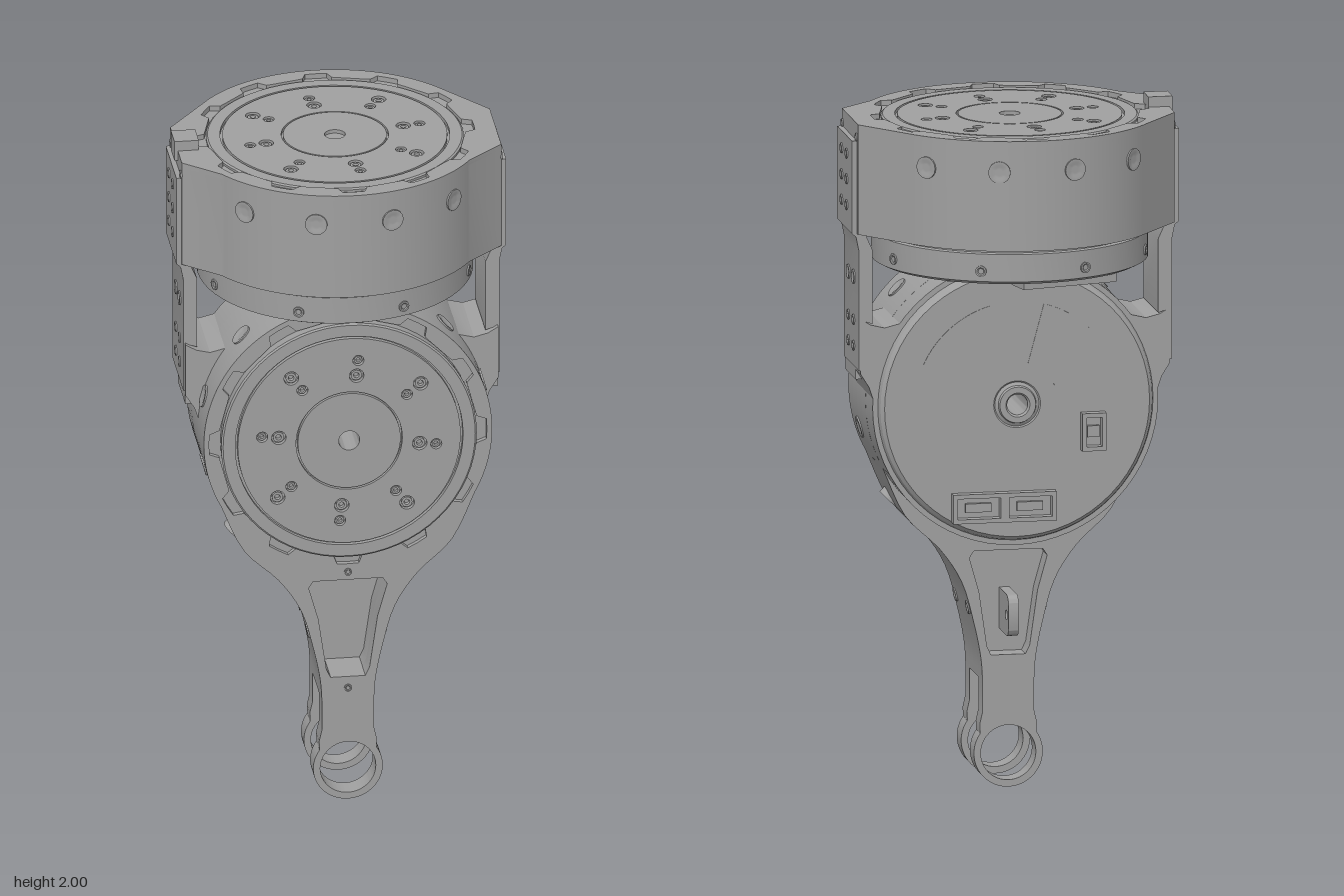
import * as THREE from 'three';
import { toCreasedNormals } from 'three/addons/utils/BufferGeometryUtils.js';

const metal = new THREE.MeshStandardMaterial({ color: 0xa0a0a0 });
metal.name = 'grey metal';
const V2 = (x, y) => new THREE.Vector2(x, y);
const DEG = Math.PI / 180;

function add(parent, name, geo, x = 0, y = 0, z = 0) {
  const mesh = new THREE.Mesh(geo, metal);
  mesh.name = name;
  mesh.position.set(x, y, z);
  parent.add(mesh);
  return mesh;
}

const poly = (pts) => new THREE.Shape(pts.map(([x, y]) => V2(x, y)));
const circle = (x, y, r) => new THREE.Path().absarc(x, y, r, 0, Math.PI * 2, true);

// Flat shape pushed from z0 to z1
function slab(shape, z0, z1, holes = [], segs = 24) {
  const s = shape.clone();
  s.holes = holes;
  const g = new THREE.ExtrudeGeometry(s, { depth: z1 - z0, bevelEnabled: false, curveSegments: segs });
  g.translate(0, 0, z0);
  return toCreasedNormals(g, 0.45);
}

// Turned part around the z axis, profile given as [radius, z]
function turned(profile, segs = 64) {
  const g = new THREE.LatheGeometry(profile.map(([r, z]) => V2(r, z)), segs);
  g.rotateX(Math.PI / 2);
  return toCreasedNormals(g, 0.45);
}

// Socket screw pointing along dir
function bolt(parent, name, pos, dir, r = 0.032) {
  const g = turned([[r, -0.02], [r, 0.004], [r * 0.7, 0.004], [r * 0.5, 0.0015], [r * 0.3, 0.0015], [0, 0.0005]], 16);
  const m = add(parent, name, g, ...pos);
  m.lookAt(pos[0] + dir[0], pos[1] + dir[1], pos[2] + dir[2]);
}

// Circle with twelve lobes that the cap tabs sit in
function lobedPoints(cx, cy) {
  const pts = [];
  for (let i = 0; i < 12; i++) {
    const a = i * 30;
    for (const [d, r] of [[-10, 0.37], [-6.5, 0.373], [-4.5, 0.4], [0, 0.4], [4.5, 0.4], [6.5, 0.373], [10, 0.37]])
      pts.push(V2(cx + r * Math.cos((a + d) * DEG), cy + r * Math.sin((a + d) * DEG)));
  }
  return new THREE.Path(pts);
}

// Output face of a motor: hub, drilled plate and outer ring, top at z = 0
function outputFace(offset) {
  const g = new THREE.Group();
  g.name = 'outputFace';
  add(g, 'faceRing', turned([[0.365, -0.05], [0.368, -0.004], [0.363, 0], [0.328, 0], [0.328, -0.014],
    [0.148, -0.014], [0.148, 0], [0.03, 0], [0.03, -0.05]]));
  const holes = [circle(0, 0, 0.153)];
  for (let k = 0; k < 8; k++) {
    const a = (offset + 45 * k) * DEG;
    const [big, small] = k % 2 ? [0.265, 0.214] : [0.204, 0.252];
    for (const [r, s] of [[big, 0.021], [small, 0.016]]) {
      const x = r * Math.cos(a), y = r * Math.sin(a);
      holes.push(circle(x, y, s));
      add(g, 'faceScrew', turned([[s * 0.75, -0.014], [s * 0.75, -0.004], [s * 0.4, -0.004], [s * 0.3, -0.012], [0, -0.012]], 12), x, y);
    }
  }
  const disc = new THREE.Shape().absarc(0, 0, 0.321, 0, Math.PI * 2);
  add(g, 'drilledPlate', slab(disc, -0.014, 0, holes, 32));
  return g;
}

// Open plug socket, facing +z
function socket(w, h, windows) {
  const g = new THREE.Group();
  g.name = 'socket';
  const rect = (cx, ww, hh) => [[cx - ww / 2, -hh / 2], [cx + ww / 2, -hh / 2], [cx + ww / 2, hh / 2], [cx - ww / 2, hh / 2]];
  const cell = w / windows;
  const holes = [];
  for (let i = 0; i < windows; i++) {
    const cx = -w / 2 + cell * (i + 0.5);
    holes.push(poly(rect(cx, cell - 0.025, h - 0.025)));
    add(g, 'socketPin', new THREE.BoxGeometry(cell * 0.5, h * 0.3, 0.012), cx, 0, 0.006);
  }
  add(g, 'socketFrame', slab(poly(rect(0, w, h)), -0.01, 0.025, holes));
  return g;
}

// Housing outline running into the arm; full adds the end eye
const CY = 1.14, R = 0.415;
function armShape(full) {
  const side = new THREE.SplineCurve([[0.365, 0.942], [0.3, 0.8], [0.2, 0.7], [0.135, 0.6], [0.1, 0.48], [0.08, 0.38], [0.075, 0.31]]
    .map(([x, y]) => V2(x, y))).getPoints(24);
  const right = side.slice();
  if (full) right.push(V2(0.075, 0.22), V2(0.083, 0.185));
  const s = new THREE.Shape();
  s.absarc(0, CY, R, -28.5 * DEG, 208.5 * DEG, false);
  right.forEach((p) => s.lineTo(-p.x, p.y));
  if (full) s.absarc(0, 0.1, 0.1, 145 * DEG, 395 * DEG, false);
  right.reverse().forEach((p) => s.lineTo(p.x, p.y));
  return s;
}

function lowerLink() {
  const g = new THREE.Group();
  g.name = 'lowerLink';
  const pocket = poly([[-0.1, 0.69], [-0.113, 0.67], [-0.085, 0.57], [-0.062, 0.41], [-0.05, 0.385],
    [0.05, 0.385], [0.062, 0.41], [0.085, 0.57], [0.113, 0.67], [0.1, 0.69]]);
  const eye = circle(0, 0.1, 0.08), bore = circle(0, CY, 0.03);
  const full = armShape(true), short = armShape(false);
  add(g, 'frontRim', slab(full, 0.26, 0.275, [lobedPoints(0, CY), pocket, eye], 48));
  add(g, 'frontProng', slab(full, 0.21, 0.26, [bore, pocket, eye], 48));
  add(g, 'armFrame', slab(short, 0.15, 0.21, [bore, pocket], 48));
  add(g, 'armWeb', slab(short, 0.08, 0.15, [bore], 48));
  add(g, 'backProng', slab(full, 0.02, 0.08, [bore, pocket, eye], 48));
  add(g, 'backCover', turned([[0.03, 0.27], [0.03, -0.115], [0.035, -0.122], [0.052, -0.122], [0.055, -0.112], [0.064, -0.107],
    [0.068, -0.11], [0.385, -0.11], [0.395, -0.1], [0.4, -0.085], [R, -0.085], [R, 0.03]]), 0, CY, 0);
  const face = outputFace(-6);
  face.position.set(0, CY, 0.3);
  g.add(face);

  // Shallow fan panels and sockets on the back
  for (const [a0, a1] of [[25, 75], [105, 155]]) {
    const fan = new THREE.Shape().absarc(0, CY, 0.3, a0 * DEG, a1 * DEG, false);
    fan.absarc(0, CY, 0.12, a1 * DEG, a0 * DEG, true);
    add(g, 'backPanel', slab(fan, -0.112, -0.105));
  }
  for (const [x, y, w, h, n] of [[0.04, 0.845, 0.3, 0.085, 2], [-0.22, 1.055, 0.07, 0.11, 1]]) {
    const s = socket(w, h, n);
    s.position.set(x, y, -0.112);
    s.rotation.y = Math.PI;
    g.add(s);
  }

  // Small cable tab behind the arm
  const tab = new THREE.Shape();
  tab.moveTo(-0.12, 0.45).lineTo(0.03, 0.45);
  tab.absarc(0.03, 0.48, 0.03, -90 * DEG, 0, false);
  tab.absarc(0.03, 0.54, 0.03, 0, 90 * DEG, false);
  tab.lineTo(-0.12, 0.57);
  const tabMesh = add(g, 'cableTab', slab(tab, -0.015, 0.015, [circle(0.026, 0.51, 0.014)]));
  tabMesh.rotation.y = Math.PI / 2;

  // Screws round the housing and on the arm
  for (const a of [-45, -15, 15, 45, 75, 105, 135, 165, 195, 225]) {
    const c = Math.cos(a * DEG), s = Math.sin(a * DEG);
    const r = a === -45 || a === 225 ? 0.45 : R;
    bolt(g, 'housingScrew', [r * c, CY + r * s, 0.175], [c, s, 0]);
  }
  for (const s of [-1, 1]) for (const z of [0.24, 0.055]) bolt(g, 'armScrew', [s * 0.11, 0.52, z], [s, -0.2 * s * s, 0], 0.02);
  for (const y of [0.715, 0.35]) bolt(g, 'armPin', [0, y, 0.275], [0, 0, 1], 0.011);

  // Ears that carry the straps
  for (const s of [-1, 1]) {
    const ear = poly([[0.3, 1.41], [0.335, 1.383], [0.38, 1.372], [0.42, 1.382], [0.45, 1.4], [0.45, 1.24], [0.425, 1.2], [0.405, 1.14], [0.3, 1.1]]
      .map(([x, y]) => [s * x, y]));
    add(g, 'ear', slab(ear, -0.085, 0.15));
  }
  return g;
}

// Built with its axis along z, then stood upright
function upperMotor() {
  const g = new THREE.Group();
  g.name = 'upperMotor';
  const r = 0.425;
  const body = new THREE.Shape();
  body.absarc(0, 0, r, 37 * DEG, 143 * DEG, false);
  body.lineTo(-0.46, 0.1).lineTo(-0.46, -0.14);
  body.absarc(0, 0, r, 213 * DEG, 327 * DEG, false);
  body.lineTo(0.46, -0.14).lineTo(0.46, 0.1);
  add(g, 'housing', slab(body, 1.65, 1.955, [], 32));
  add(g, 'topRim', slab(body, 1.955, 1.97, [lobedPoints(0, 0)], 32));
  add(g, 'baseCover', turned([[0, 1.545], [0.375, 1.545], [0.395, 1.555], [0.395, 1.635], [0.385, 1.638], [0.385, 1.66]]));
  const face = outputFace(9);
  face.position.z = 1.966;
  g.add(face);
  for (let a = 15; a < 360; a += 30) {
    const c = Math.cos(a * DEG), s = Math.sin(a * DEG);
    if (Math.abs(c) < 0.8) bolt(g, 'housingScrew', [r * c, r * s, 1.88], [c, s, 0]);
  }
  for (let a = 22; a < 360; a += 45) {
    const c = Math.cos(a * DEG), s = Math.sin(a * DEG);
    bolt(g, 'coverScrew', [0.395 * c, 0.395 * s, 1.585], [c, s, 0], 0.016);
  }
  // Sockets under the base
  for (const [x, y, w, h, n, turn] of [[-0.105, 0.27, 0.29, 0.085, 2, 0.23], [0.17, 0.14, 0.11, 0.07, 1, 0.23]]) {
    const s = socket(w, h, n);
    s.position.set(x, y, 1.546);
    s.rotation.set(Math.PI, 0, -turn);
    g.add(s);
  }
  g.rotation.x = -Math.PI / 2;
  return g;
}

// Stepped side strap joining the two motors
function strap(s) {
  const g = new THREE.Group();
  g.name = s > 0 ? 'leftStrap' : 'rightStrap';
  const profile = poly([[0.445, 1.25], [0.455, 1.25], [0.455, 1.6], [0.463, 1.64], [0.475, 1.65], [0.475, 1.92], [0.45, 1.92],
    [0.45, 1.65], [0.435, 1.645], [0.415, 1.6], [0.415, 1.385], [0.445, 1.395]].map(([x, y]) => [s * x, y]));
  add(g, 'strapPlate', slab(profile, -0.085, 0.135));
  add(g, 'strapFoot', new THREE.BoxGeometry(0.04, 0.06, 0.15), s * 0.43, 1.24, 0.065);
  const rows = [[1.87, 0.475, 0.015], [1.795, 0.475, 0.015], [1.72, 0.475, 0.015], [1.51, 0.455, 0.021], [1.385, 0.455, 0.015], [1.31, 0.455, 0.015]];
  for (const [y, x, r] of rows) for (const z of [0.065, -0.01]) bolt(g, 'strapScrew', [s * x, y, z], [s, 0, 0], r);
  for (const z of [0.13, -0.08]) bolt(g, 'cornerScrew', [s * 0.46, 1.93, z], [s, 0, 0], 0.012);
  return g;
}

export function createModel() {
  const model = new THREE.Group();
  model.name = 'roboticLeg';
  model.add(lowerLink(), upperMotor(), strap(1), strap(-1));
  add(model, 'topTab', new THREE.BoxGeometry(0.07, 0.06, 0.075), -0.435, 1.97, 0.022);
  return model;
}
